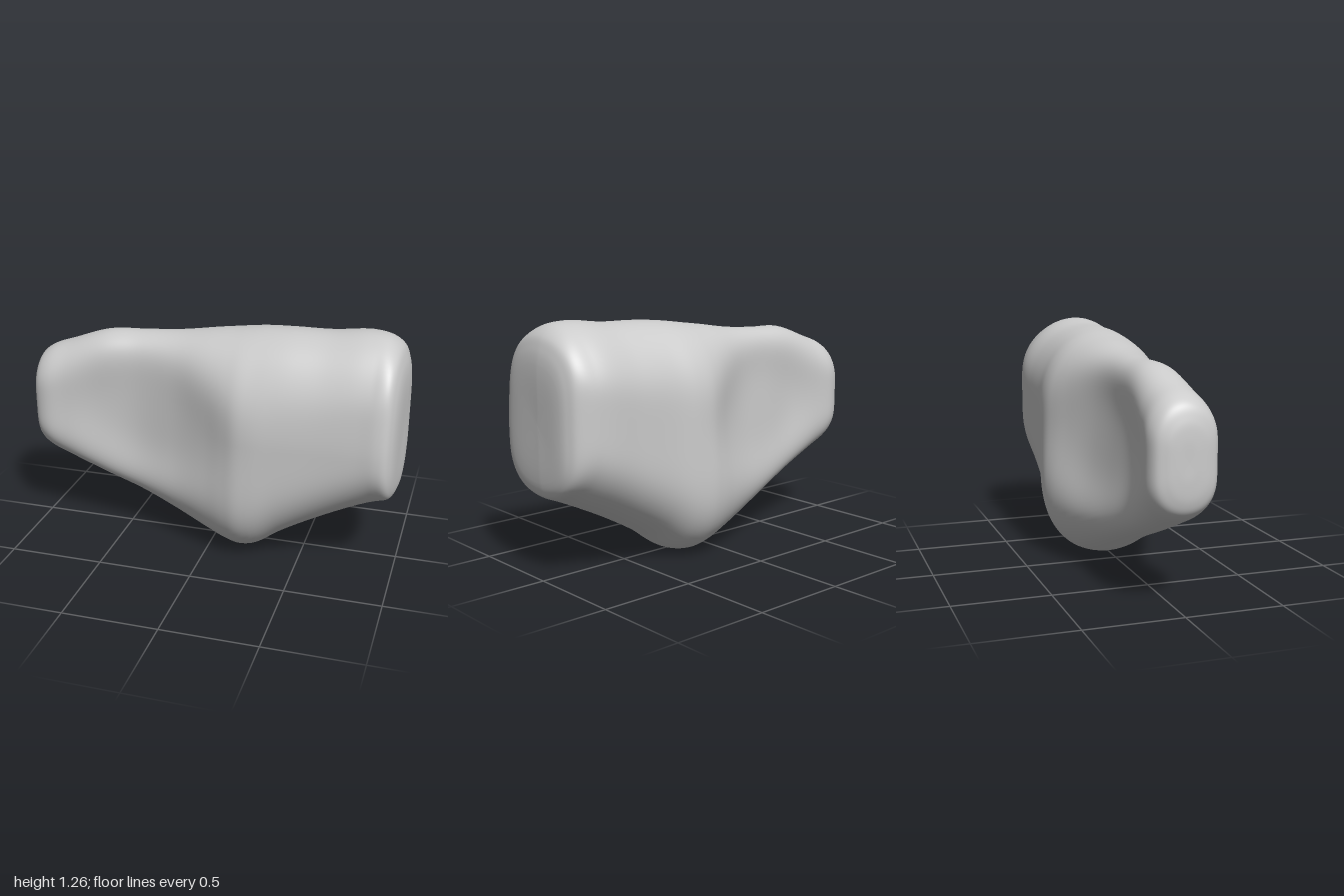
import * as THREE from 'three';

// Cross-sections along x: [x, bottom, top, back z, front z]
const SECTIONS = [
  [-1.0, 0.72, 0.72, 0.01, 0.01],
  [-1.0, 0.62, 0.84, -0.05, 0.06],
  [-0.99, 0.53, 0.92, -0.1, 0.12],
  [-0.965, 0.475, 0.985, -0.145, 0.16],
  [-0.91, 0.435, 1.025, -0.168, 0.18],
  [-0.8, 0.385, 1.065, -0.166, 0.174],
  [-0.6, 0.3, 1.13, -0.18, 0.168],
  [-0.4, 0.22, 1.14, -0.22, 0.172],
  [-0.2, 0.135, 1.155, -0.268, 0.215],
  [0.0, 0.05, 1.185, -0.322, 0.285],
  [0.11, 0.01, 1.2, -0.348, 0.325],
  [0.18, 0.0, 1.21, -0.357, 0.345],
  [0.26, 0.02, 1.22, -0.35, 0.35],
  [0.4, 0.12, 1.23, -0.322, 0.348],
  [0.6, 0.235, 1.235, -0.312, 0.347],
  [0.8, 0.335, 1.255, -0.31, 0.352],
  [0.9, 0.38, 1.24, -0.29, 0.355],
  [0.96, 0.405, 1.195, -0.258, 0.342],
  [0.985, 0.43, 1.14, -0.22, 0.31],
  [1.0, 0.49, 1.06, -0.17, 0.25],
  [1.0, 0.78, 0.78, 0.02, 0.02],
];

const curve = (pick) => new THREE.CatmullRomCurve3(
  SECTIONS.map((s) => new THREE.Vector3(...pick(s))), false, 'centripetal');
const { smoothstep, lerp } = THREE.MathUtils;

// Smooth hollow pressed into a broad side
function hollow(x, y) {
  const d = ((x + 0.32) / 0.44) ** 2 + ((y - 0.72) / 0.36) ** 2;
  return Math.exp(-d * d);
}

function bodyGeometry(rings = 140, sides = 128) {
  const profile = curve(([x, b, t]) => [x, b, t]);
  const depth = curve(([x, , , zb, zf]) => [x, zb, zf]);
  const positions = [], index = [];
  for (let i = 0; i <= rings; i++) {
    const p = profile.getPoint(i / rings), q = depth.getPoint(i / rings);
    const x = p.x, midY = (p.y + p.z) / 2, halfY = (p.z - p.y) / 2;
    const midZ = (q.y + q.z) / 2, halfZ = (q.z - q.y) / 2;
    const end = smoothstep(x, 0.85, 1);
    for (let j = 0; j < sides; j++) {
      // Rounded box section with a crowned top and bottom, flatter at the wide end
      const a = (j / sides) * Math.PI * 2, cos = Math.cos(a), sin = Math.sin(a);
      const r = (Math.abs(cos) ** 5 + Math.abs(sin) ** 5) ** -0.2;
      const c = r * cos, s = r * sin;
      const crown = halfZ * lerp(s > 0 ? 0.56 : 0.47, 0.3, end);
      const y = midY + s * (halfY - crown * c * c);
      let z = midZ + halfZ * c;
      if (c > 0) {
        // The front leans inward toward the top of the wide half
        const lean = smoothstep(x, -0.1, 0.3) * smoothstep(y, 0.7, 1.1);
        z -= c * (0.055 * hollow(x, y) + 0.03 * lean);
      } else {
        // Deeper hollow at the back, with the upper half leaning inward
        const lean = Math.exp(-(((x + 0.2) / 0.35) ** 2)) * smoothstep(y, 0.4, 1);
        z -= c * (0.062 * hollow(x, y) + 0.04 * lean);
      }
      // The wide end is cut slightly askew
      positions.push(x - 0.06 * Math.max(z, 0) * end, y, z);
      if (i < rings) {
        const k = (j + 1) % sides, row = i * sides, next = row + sides;
        index.push(row + j, next + j, next + k, row + j, next + k, row + k);
      }
    }
  }
  const geometry = new THREE.BufferGeometry();
  geometry.setAttribute('position', new THREE.Float32BufferAttribute(positions, 3));
  geometry.setIndex(index);
  geometry.computeVertexNormals();
  return geometry;
}

export function createModel() {
  const model = new THREE.Group();
  model.name = 'stone';
  const body = new THREE.Mesh(bodyGeometry(), new THREE.MeshStandardMaterial({ color: 0xcccccc }));
  body.name = 'stoneBody';
  model.add(body);
  return model;
}
